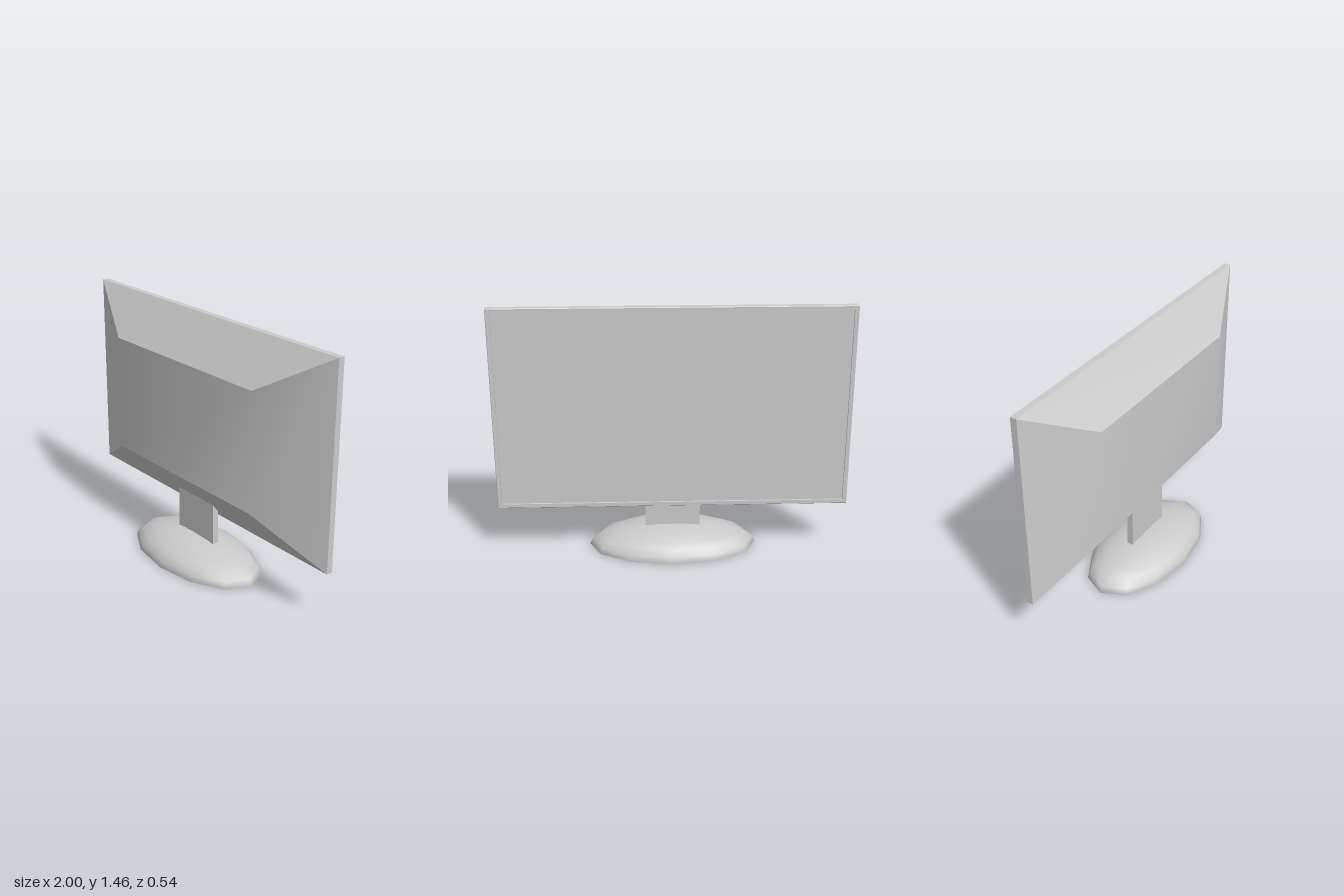
import * as THREE from 'three';
import { toCreasedNormals } from 'three/addons/utils/BufferGeometryUtils.js';

const material = new THREE.MeshStandardMaterial({ color: 0xcccccc });
const CENTRE_Y = 0.873;

// Four corners of a rectangle, counter-clockwise seen from +z
function ring([hx, hy, z]) {
  return [[-1, -1], [1, -1], [1, 1], [-1, 1]].map(([sx, sy]) => [sx * hx, CENTRE_Y + sy * hy, z]);
}

function quadGeometry(quads) {
  const positions = quads.flatMap(([a, b, c, d]) => [a, b, c, a, c, d].flat());
  const geometry = new THREE.BufferGeometry();
  geometry.setAttribute('position', new THREE.Float32BufferAttribute(positions, 3));
  return toCreasedNormals(geometry, 0.5);
}

function addMesh(group, name, geometry) {
  const mesh = new THREE.Mesh(geometry, material);
  mesh.name = name;
  group.add(mesh);
  return mesh;
}

export function createModel() {
  const group = new THREE.Group();
  group.name = 'monitor';

  // Housing: tapered shell, straight rim, bezel and recess (half width, half height, z)
  const rings = [
    [0.585, 0.343, 0.117],
    [1, 0.585, -0.061],
    [1, 0.585, -0.098],
    [0.997, 0.582, -0.101],
    [0.976, 0.561, -0.101],
    [0.976, 0.561, -0.09],
  ].map(ring);
  const quads = [rings[0]];
  for (let i = 0; i < rings.length - 1; i++) {
    for (let j = 0; j < 4; j++) {
      const k = (j + 1) % 4;
      quads.push([rings[i][j], rings[i + 1][j], rings[i + 1][k], rings[i][k]]);
    }
  }
  addMesh(group, 'housing', quadGeometry(quads));

  // Screen panel at the bottom of the recess, facing -z
  addMesh(group, 'screen', quadGeometry([[...rings[rings.length - 1]].reverse()]));

  // Flat stem reaching into the housing
  const stem = addMesh(group, 'stem', new THREE.BoxGeometry(0.316, 0.27, 0.037));
  stem.position.set(0, 0.255, -0.012);

  // Oval domed foot with a flat underside
  const dome = new THREE.SphereGeometry(1, 12, 6, 0, Math.PI * 2, 0, Math.PI / 2);
  dome.scale(0.487, 0.138, 0.27);
  addMesh(group, 'footDome', dome);
  const underside = new THREE.CircleGeometry(1, 12);
  underside.rotateX(Math.PI / 2);
  underside.scale(0.487, 1, 0.27);
  addMesh(group, 'footUnderside', underside);

  return group;
}
